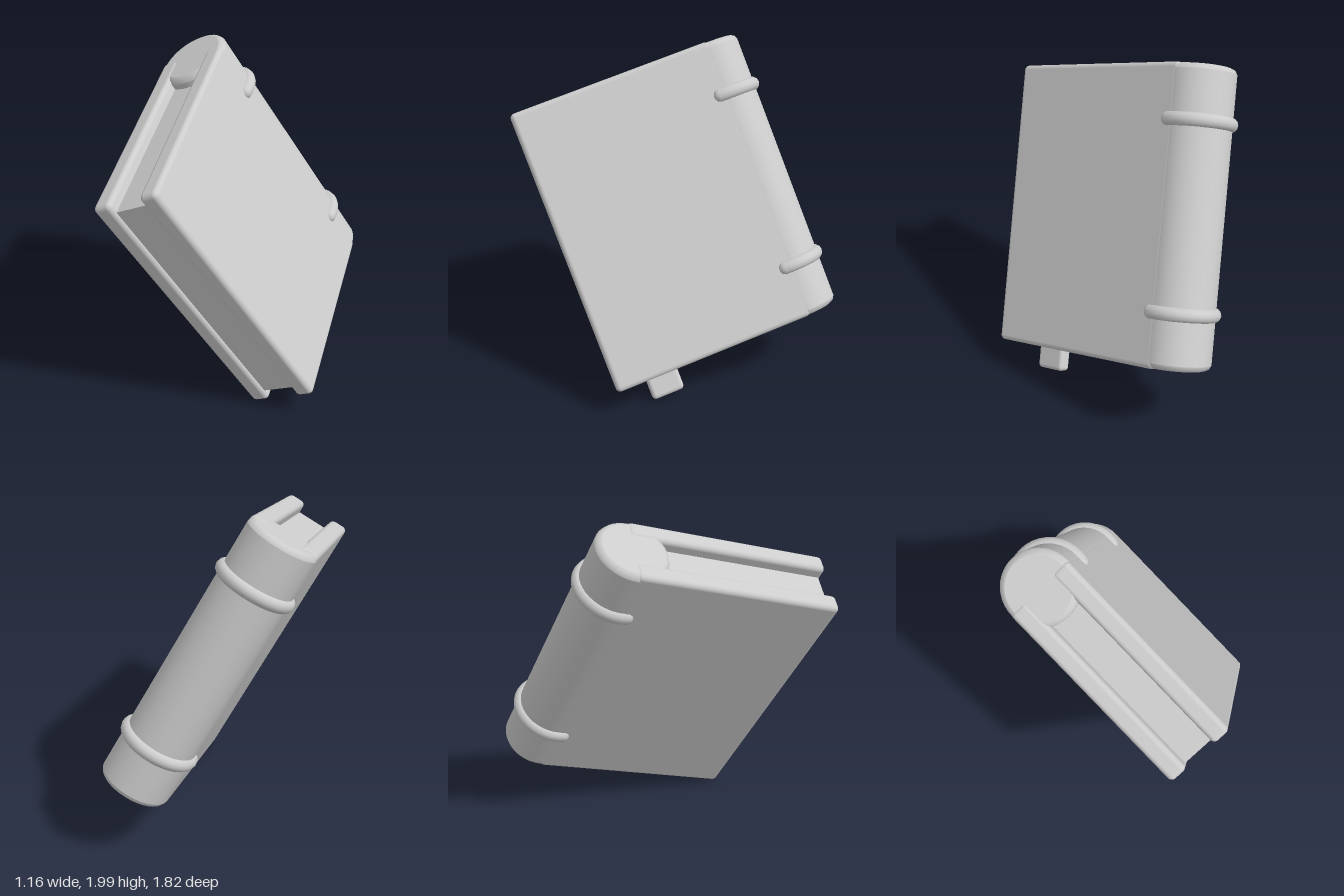
import * as THREE from 'three';
import { RoundedBoxGeometry } from 'three/addons/geometries/RoundedBoxGeometry.js';

export function createModel() {
  const grey = new THREE.MeshStandardMaterial({ color: 0xcccccc });
  grey.name = 'plain grey';

  // Book frame: x across the thickness, y along the spine, z from spine to fore edge
  const book = new THREE.Group();
  book.name = 'book';
  const add = (name, geometry, x = 0, y = 0, z = 0) => {
    const mesh = new THREE.Mesh(geometry, grey);
    mesh.name = name;
    mesh.position.set(x, y, z);
    book.add(mesh);
    return mesh;
  };

  const height = 1.72, width = 1.23, half = 0.213, board = 0.115;

  // Two cover boards
  for (const [name, side] of [['leftCover', 1], ['rightCover', -1]]) {
    add(name, new RoundedBoxGeometry(board, height, width, 3, 0.03),
      side * (half - board / 2), 0, width / 2 - 0.01);
  }

  // Page block, set back from the head and tail
  add('pages', new THREE.BoxGeometry(0.22, height - 0.14, width - 0.03), 0, 0, (width - 0.03) / 2);

  // Round spine with softened ends
  const h = height / 2 - 0.005, r = half;
  const profile = [
    [0, -h], [r - 0.034, -h], [r - 0.03, -h], [r - 0.01, -h + 0.01], [r, -h + 0.03], [r, -h + 0.034],
    [r, h - 0.034], [r, h - 0.03], [r - 0.01, h - 0.01], [r - 0.03, h], [r - 0.034, h], [0, h],
  ].map(([x, y]) => new THREE.Vector2(x, y));
  add('spine', new THREE.LatheGeometry(profile, 40));

  // Raised bands around the spine, with rounded ends
  const arc = Math.PI * 1.13, ring = 0.202, tube = 0.042;
  for (const [name, y] of [['upperBand', 0.54], ['lowerBand', -0.54]]) {
    const band = new THREE.TorusGeometry(ring, tube, 12, 20, arc);
    band.rotateZ(-Math.PI / 2 - arc / 2);
    band.rotateX(Math.PI / 2);
    add(name, band, 0, y, 0);
    for (const side of [1, -1]) {
      add(name + 'End', new THREE.SphereGeometry(tube, 12, 8),
        side * ring * Math.sin(arc / 2), y, -ring * Math.cos(arc / 2));
    }
  }

  // Bookmark hanging out at the tail
  add('bookmark', new RoundedBoxGeometry(0.08, 0.45, 0.2, 2, 0.025), 0, -0.79, 0.935);

  // Lean the book onto its lower corner
  const u = new THREE.Vector3(-0.445, 0.858, 0.258).normalize();
  const w = new THREE.Vector3(0.03, -0.275, 0.961);
  w.addScaledVector(u, -w.dot(u)).normalize();
  const n = new THREE.Vector3().crossVectors(u, w);
  book.quaternion.setFromRotationMatrix(new THREE.Matrix4().makeBasis(n, u, w));
  book.position.set(-0.015, 1.163, -0.4975);

  const model = new THREE.Group();
  model.name = 'leaningBook';
  model.add(book);
  return model;
}
